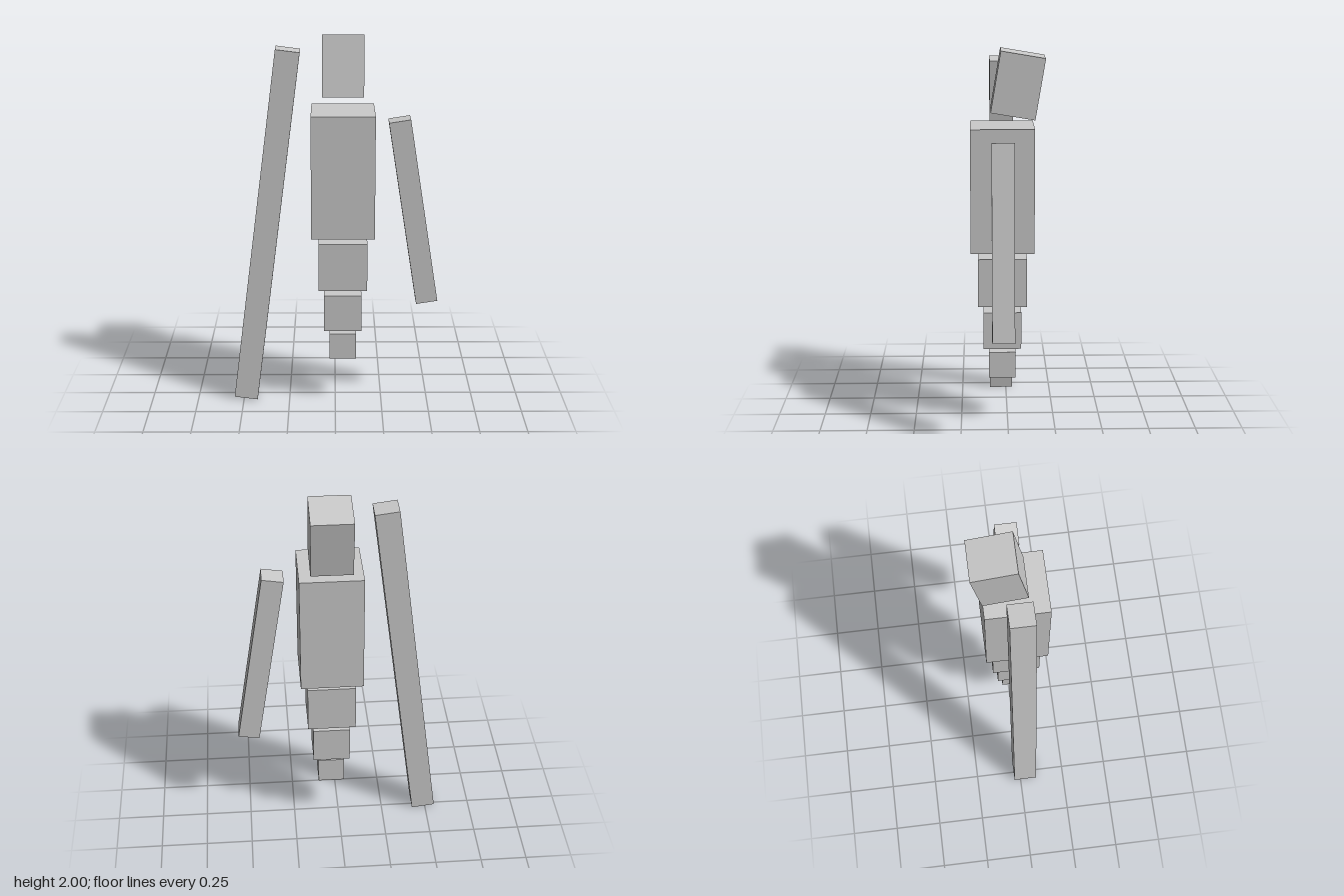
import * as THREE from 'three';

export function createModel() {
  const model = new THREE.Group();
  const material = new THREE.MeshStandardMaterial({ color: 0xcccccc, flatShading: true });
  const bodyX = 0.04, bodyZ = 0.028;

  function block(name, [w, h, d], [x, y, z], tiltX = 0, tiltZ = 0) {
    const mesh = new THREE.Mesh(new THREE.BoxGeometry(w, h, d), material);
    mesh.name = name;
    mesh.position.set(x, y, z);
    mesh.rotation.set(tiltX, 0, tiltZ);
    model.add(mesh);
  }

  // Head, tipped back to look up
  block('head', [0.217, 0.32, 0.233], [bodyX, 1.822, -0.053], -0.166);

  // Torso
  block('torso', [0.332, 0.651, 0.332], [bodyX, 1.281, bodyZ]);

  // Floating tail of shrinking cubes: [size, centre height]
  [[0.258, 0.787], [0.2, 0.518], [0.143, 0.318]].forEach(([s, y], i) =>
    block(`tailSegment${i + 1}`, [s, s, s], [bodyX, y, bodyZ]));

  // Long right arm and short left arm, both splayed outwards
  block('rightArm', [0.127, 1.928, 0.127], [-0.366, 0.968, bodyZ], 0, -0.127);
  block('leftArm', [0.115, 1.004, 0.115], [0.413, 1.062, bodyZ], 0, 0.156);

  return model;
}
